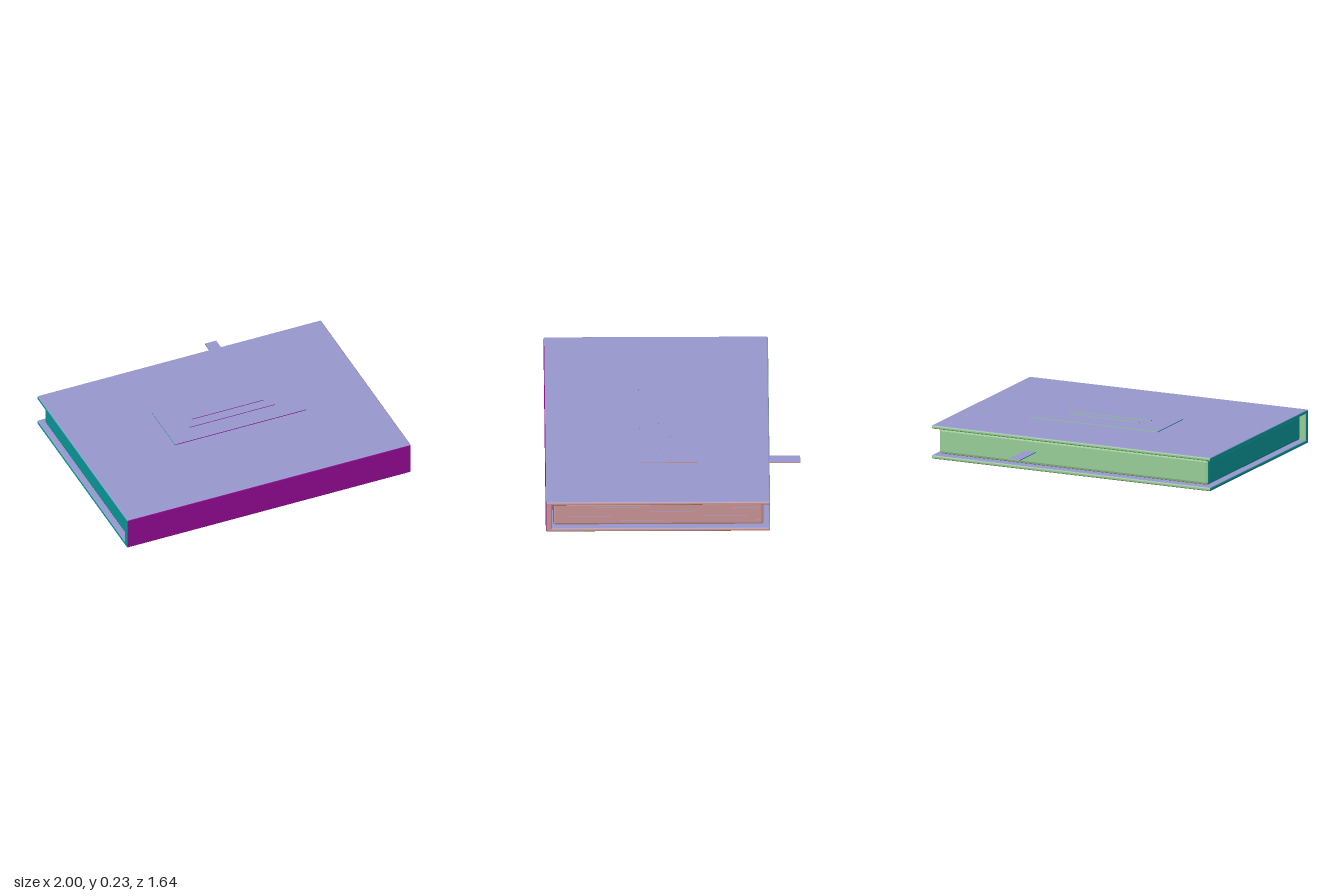
import * as THREE from 'three';
import { RoundedBoxGeometry } from 'three/addons/geometries/RoundedBoxGeometry.js';

// One colour per box side, in the order +x, -x, +y, -y, +z, -z
const sideColors = [0xcc9696, 0x0a9696, 0x9696cc, 0x96960a, 0x960a96, 0x96cc96];
const smooth = sideColors.map((color) => new THREE.MeshStandardMaterial({ color }));
const faceted = sideColors.map((color) => new THREE.MeshStandardMaterial({ color, flatShading: true }));

export function createModel() {
  const book = new THREE.Group();
  book.name = 'book';

  // Adds a box spanning the given [min, max] ranges; radius rounds its edges
  function slab(name, x, y, z, radius = 0, segments = 3, materials = smooth) {
    const size = [x, y, z].map(([a, b]) => b - a);
    const geometry = radius
      ? new RoundedBoxGeometry(...size, segments, radius)
      : new THREE.BoxGeometry(...size);
    const mesh = new THREE.Mesh(geometry, materials);
    mesh.name = name;
    mesh.position.set(...[x, y, z].map(([a, b]) => (a + b) / 2));
    book.add(mesh);
  }

  // Binding: two boards joined by the spine along the front
  slab('backCover', [-1, 1], [0, 0.025], [-0.625, 0.82], 0.01);
  slab('frontCover', [-1, 1], [0.199, 0.223], [-0.625, 0.82], 0.01);
  slab('spine', [-1, 1], [0, 0.223], [0.78, 0.82], 0.01);

  // Page block, set in from the covers, with chamfered edges
  slab('pageBlock', [-0.965, 0.965], [0.027, 0.197], [-0.584, 0.774], 0.018, 1, faceted);

  // Thin page lines on the right end of the block
  for (let i = 0; i < 4; i++) {
    const y = 0.064 + i * 0.032;
    slab('pageLine', [0.955, 0.967], [y - 0.0015, y + 0.0015], [-0.56, 0.75]);
  }

  // Title plate with two raised strips
  slab('titlePlate', [-0.395, 0.525], [0.218, 0.228], [-0.16, 0.212]);
  slab('titleStrip', [-0.235, 0.365], [0.225, 0.232], [0.074, 0.086]);
  slab('titleStrip', [-0.185, 0.315], [0.225, 0.232], [0.001, 0.013]);

  // Bookmark ribbon hanging out of the back edge
  slab('bookmarkRibbon', [0.27, 0.35], [0.109, 0.115], [-0.824, -0.5]);

  return book;
}
